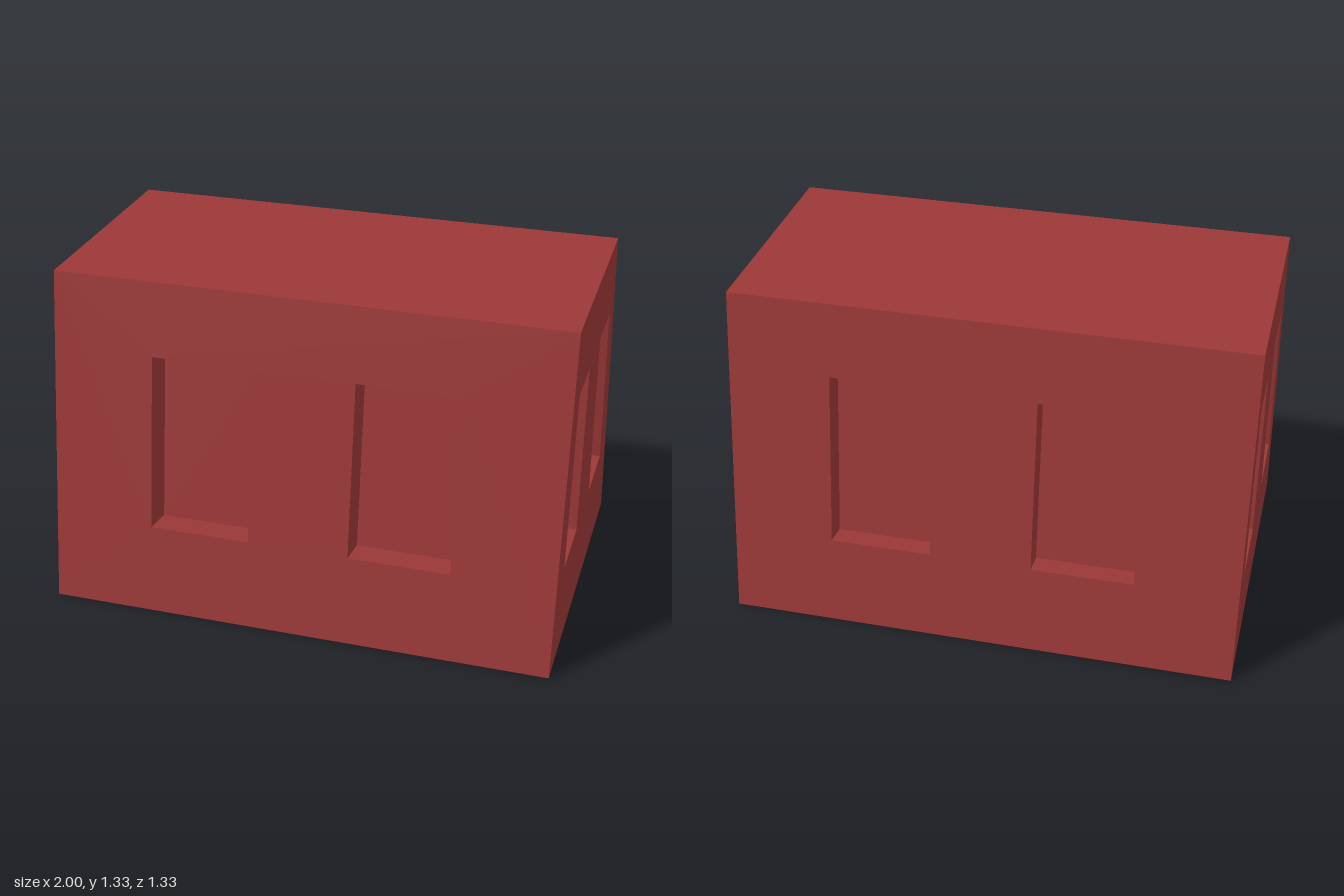
import * as THREE from 'three';

const H = 1.333, HALF_X = 1, BASE_Z = 0.667, TOP_Z = 0.467;
const WIN_LOW = 0.353, WIN_HIGH = 1.043;
const brickRed = new THREE.MeshStandardMaterial({ color: 0x9c3838 });
brickRed.name = 'brickRed';

const toShape = pts => new THREE.Shape(pts.map(p => new THREE.Vector2(...p)));

function addMesh(parent, name, geometry) {
  const mesh = new THREE.Mesh(geometry, brickRed);
  mesh.name = name;
  parent.add(mesh);
  return mesh;
}

// Four inward-facing reveals around a counter-clockwise opening
function revealGeometry(opening, depth) {
  const pos = [];
  opening.forEach((p, i) => {
    const q = opening[(i + 1) % opening.length];
    const a = [...p, 0], b = [...q, 0], c = [...q, -depth], d = [...p, -depth];
    pos.push(...a, ...b, ...c, ...a, ...c, ...d);
  });
  const geo = new THREE.BufferGeometry();
  geo.setAttribute('position', new THREE.Float32BufferAttribute(pos, 3));
  geo.computeVertexNormals();
  return geo;
}

// Flat wall in its local XY plane, facing +z, with recessed windows
function makeWall(name, outline, openings, depth) {
  const wall = new THREE.Group();
  wall.name = name;
  const shape = toShape(outline);
  openings.forEach(o => shape.holes.push(toShape(o)));
  addMesh(wall, name + 'Face', new THREE.ShapeGeometry(shape));
  openings.forEach(o => {
    addMesh(wall, 'windowReveal', revealGeometry(o, depth));
    addMesh(wall, 'windowBack', new THREE.ShapeGeometry(toShape(o))).position.z = -depth;
  });
  return wall;
}

export function createModel() {
  const model = new THREE.Group();
  model.name = 'taperedBlock';

  // Sloping front and back walls with rectangular recesses
  const lean = Math.atan((BASE_Z - TOP_Z) / H);
  const slant = 1 / Math.cos(lean);
  const rect = (x0, y0, x1, y1) =>
    [[x0, y0 * slant], [x1, y0 * slant], [x1, y1 * slant], [x0, y1 * slant]];
  const longOpenings = [-0.6, 0.2].map(x => rect(x, WIN_LOW, x + 0.4, WIN_HIGH));
  for (const [name, turn, depth] of [['frontWall', 0, 0.133], ['backWall', Math.PI, 0.097]]) {
    const wall = makeWall(name, rect(-HALF_X, 0, HALF_X, H), longOpenings, depth);
    wall.rotation.x = -lean;
    wall.position.z = BASE_Z;
    const pivot = new THREE.Group();
    pivot.name = name + 'Pivot';
    pivot.rotation.y = turn;
    pivot.add(wall);
    model.add(pivot);
  }

  // Upright end walls with tapering recesses
  const endOutline = [[-BASE_Z, 0], [BASE_Z, 0], [TOP_Z, H], [-TOP_Z, H]];
  const endOpenings = [
    [[-0.446, WIN_LOW], [-0.161, WIN_LOW], [-0.134, WIN_HIGH], [-0.372, WIN_HIGH]],
    [[0.152, WIN_LOW], [0.454, WIN_LOW], [0.379, WIN_HIGH], [0.125, WIN_HIGH]],
  ];
  for (const [name, side] of [['leftWall', 1], ['rightWall', -1]]) {
    const wall = makeWall(name, endOutline, endOpenings, 0.115);
    wall.rotation.y = side * Math.PI / 2;
    wall.position.x = side * HALF_X;
    model.add(wall);
  }

  // Flat top and underside
  const top = addMesh(model, 'top', new THREE.PlaneGeometry(2 * HALF_X, 2 * TOP_Z));
  top.rotation.x = -Math.PI / 2;
  top.position.y = H;
  const bottom = addMesh(model, 'underside', new THREE.PlaneGeometry(2 * HALF_X, 2 * BASE_Z));
  bottom.rotation.x = Math.PI / 2;

  return model;
}
